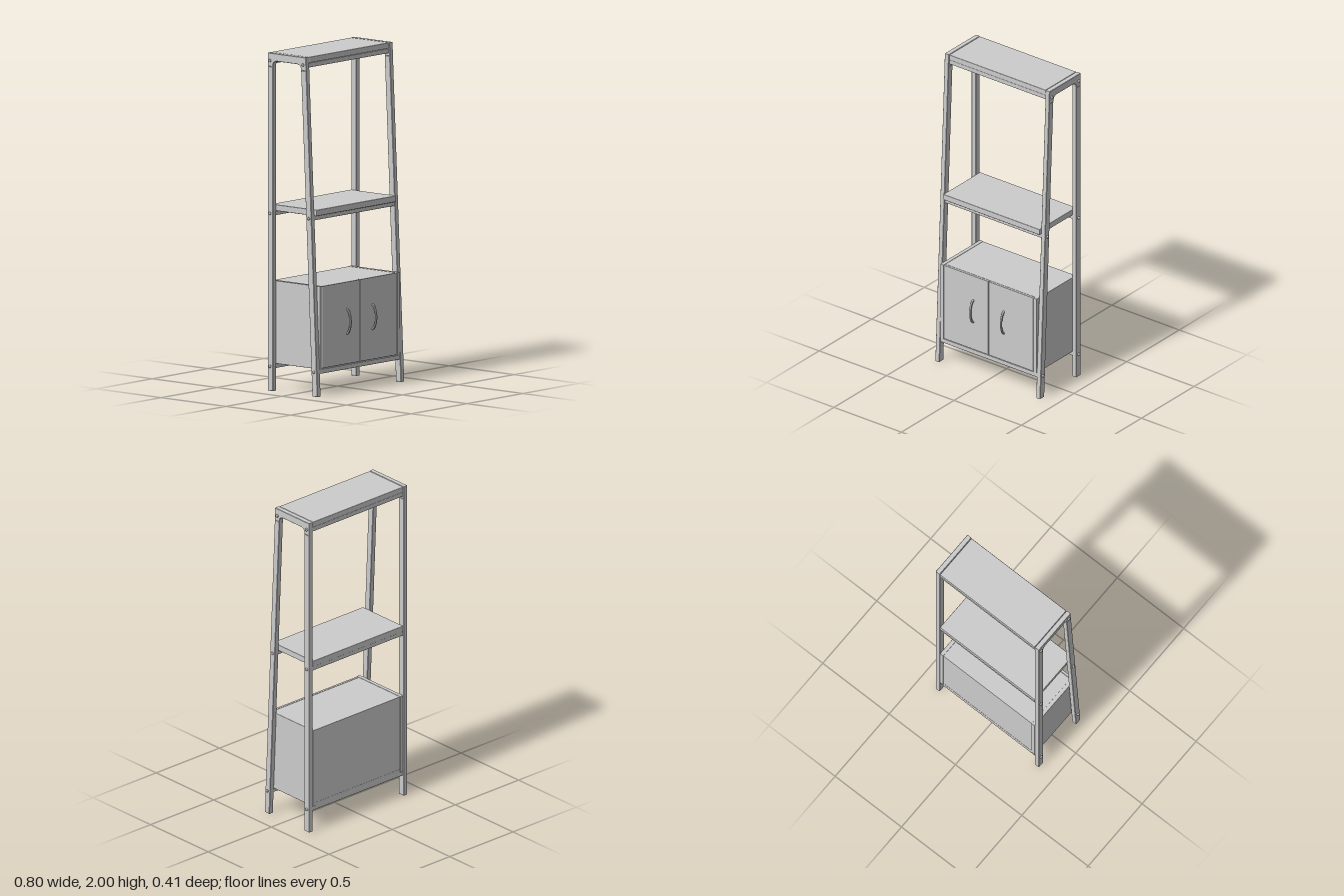
import * as THREE from 'three';
import { RoundedBoxGeometry } from 'three/addons/geometries/RoundedBoxGeometry.js';

const mat = new THREE.MeshStandardMaterial({ color: 0xcccccc });

export function createModel() {
  const root = new THREE.Group();

  const add = (name, geo, x = 0, y = 0, z = 0, parent = root) => {
    const m = new THREE.Mesh(geo, mat);
    m.name = name;
    m.position.set(x, y, z);
    parent.add(m);
    return m;
  };

  // Box given by its limits; r softens the edges
  const slab = (name, x0, x1, y0, y1, z0, z1, r = 0, parent = root) => {
    const s = [x1 - x0, y1 - y0, z1 - z0];
    const geo = r ? new RoundedBoxGeometry(...s, 2, r) : new THREE.BoxGeometry(...s);
    return add(name, geo, (x0 + x1) / 2, (y0 + y1) / 2, (z0 + z1) / 2, parent);
  };

  // Profile drawn in (z, y), extruded along x and centred on the given x
  const side = (name, shape, width, x, parent = root, bevel = 0.002) => {
    const depth = width - 2 * bevel;
    const geo = new THREE.ExtrudeGeometry(shape, {
      depth, curveSegments: 10, bevelEnabled: bevel > 0,
      bevelSize: bevel, bevelOffset: -bevel, bevelThickness: bevel, bevelSegments: 1,
    });
    geo.translate(0, 0, -depth / 2);
    geo.rotateY(-Math.PI / 2);
    return add(name, geo, x, 0, 0, parent);
  };
  const poly = (pts) => new THREE.Shape(pts.map(([z, y]) => new THREE.Vector2(z, y)));

  // Frame profiles
  const seam = 1.92;
  const backLeg = poly([[-0.205, 0], [-0.165, 0], [-0.165, seam], [-0.205, seam]]);
  const frontLeg = poly([[0.14, 0], [0.18, 0], [0.093, seam], [0.053, seam]]);
  const cap = new THREE.Shape();
  cap.moveTo(-0.205, seam);
  cap.lineTo(-0.165, seam);
  cap.quadraticCurveTo(-0.165, 1.955, -0.13, 1.955);
  cap.lineTo(0.018, 1.955);
  cap.quadraticCurveTo(0.052, 1.955, 0.053, seam);
  cap.lineTo(0.093, seam);
  cap.lineTo(0.09, 2);
  cap.lineTo(-0.205, 2);
  cap.closePath();

  // Bolt positions as [z, y]
  const bolts = [
    [-0.186, 1.955], [0.069, 1.955],
    [-0.186, 1.05], [0.113, 1.05],
    [-0.186, 0.145], [0.154, 0.145],
  ];
  const boltGeo = new THREE.LatheGeometry(
    [[0.009, 0], [0.009, 0.007], [0.007, 0.01], [0, 0.011]].map(([r, h]) => new THREE.Vector2(r, h)), 16);

  for (const s of [1, -1]) {
    const frame = new THREE.Group();
    frame.name = s > 0 ? 'leftFrame' : 'rightFrame';
    root.add(frame);
    side('backLeg', backLeg, 0.03, s * 0.374, frame);
    side('frontLeg', frontLeg, 0.03, s * 0.374, frame);
    side('topCap', cap, 0.03, s * 0.374, frame);
    for (const [z, y] of bolts) {
      add('bolt', boltGeo, s * 0.388, y, z, frame).rotation.z = -s * Math.PI / 2;
    }
  }

  // Shelf boards, each on a front and a back rail
  const shelves = [
    ['topShelf', 2.0, 0.035, 0.088, 0.069],
    ['middleShelf', 1.1, 0.037, 0.145, 0.113],
  ];
  for (const [name, top, thick, front] of shelves) {
    slab(name, -0.357, 0.357, top - thick, top, -0.205, front, 0.004);
  }
  for (const [y, z] of [[1.937, 0.069], [1.037, 0.113], [0.132, 0.154]]) {
    for (const rz of [z, -0.186]) {
      slab('rail', -0.36, 0.36, y, y + 0.027, rz - 0.015, rz + 0.015, 0.002);
    }
  }

  // Cabinet carcass
  const cabinet = new THREE.Group();
  cabinet.name = 'cabinet';
  root.add(cabinet);
  for (const s of [1, -1]) {
    slab('cabinetSide', s * 0.345 - 0.012, s * 0.345 + 0.012, 0.159, 0.65, -0.205, 0.173, 0.002, cabinet);
  }
  slab('cabinetTop', -0.335, 0.335, 0.628, 0.648, -0.203, 0.154, 0, cabinet);
  slab('cabinetFloor', -0.335, 0.335, 0.159, 0.179, -0.203, 0.154, 0, cabinet);
  slab('cabinetBack', -0.335, 0.335, 0.179, 0.628, -0.202, -0.19, 0, cabinet);

  // Doors with bowed pulls
  const pull = new THREE.Shape();
  pull.moveTo(0.168, 0.335);
  pull.bezierCurveTo(0.217, 0.355, 0.217, 0.475, 0.168, 0.495);
  pull.lineTo(0.168, 0.483);
  pull.bezierCurveTo(0.204, 0.465, 0.204, 0.365, 0.168, 0.347);
  pull.closePath();
  for (const s of [1, -1]) {
    const door = new THREE.Group();
    door.name = s > 0 ? 'leftDoor' : 'rightDoor';
    cabinet.add(door);
    slab('doorPanel', s * 0.167 - 0.1645, s * 0.167 + 0.1645, 0.163, 0.649, 0.156, 0.171, 0.002, door);
    side('doorPull', pull, 0.011, s * 0.114, door, 0.001);
  }

  return root;
}
